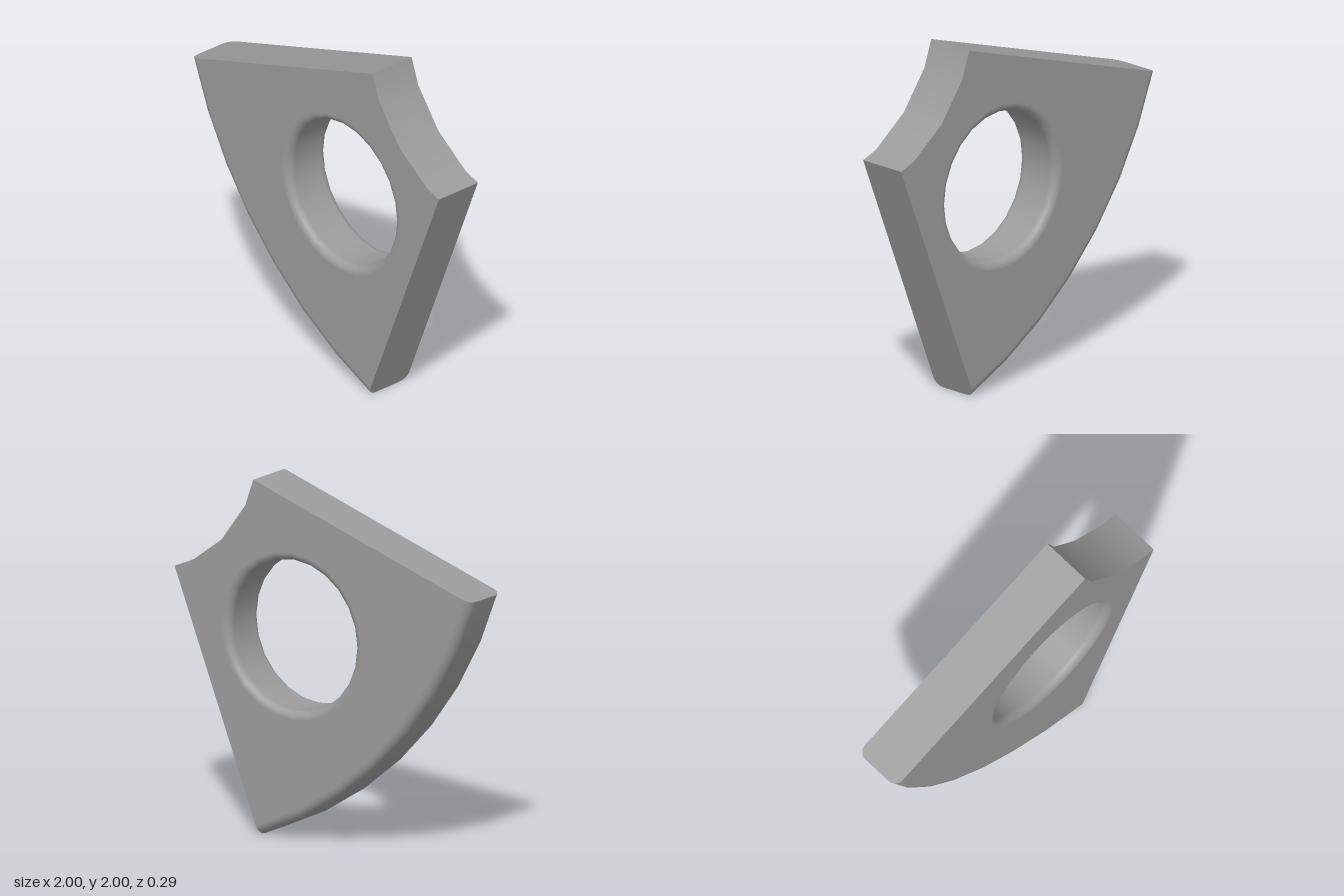
import * as THREE from 'three';

const CX = 1.337, CY = 2.281;          // centre of the ring the plate is cut from
const OUTER = 2.455, HALF = 0.145;
const RIM_FILLET = 0.055, HOLE_FILLET = 0.048;
const HOLE = { x: 0.21, y: 1.155, r: 0.425 };
const rad = THREE.MathUtils.degToRad;
const START = rad(197.84), END = rad(248.3);

// rings: [angle, radius] pairs
const outerArc = Array.from({ length: 8 }, (_, i) => [START + (END - START) * i / 7, OUTER]);
const innerArc = [[197.84, 0.914], [207.9, 0.924], [224.8, 0.924], [241.7, 0.924], [248.3, 0.914]]
  .map(([a, r]) => [rad(a), r]);
const holeRing = Array.from({ length: 25 }, (_, i) => [Math.PI * 2 * i / 24, HOLE.r]);

const at = (cx, cy, [a, r], extra = 0) =>
  new THREE.Vector2(cx + (r + extra) * Math.cos(a), cy + (r + extra) * Math.sin(a));

// Rounded wall section from back to front: [inset, z, normal outward, normal z]
function roundedSection(f, steps = 5) {
  const section = [];
  for (const s of [-1, 1]) {
    for (let k = 0; k <= steps; k++) {
      const t = (s < 0 ? steps - k : k) / steps * Math.PI / 2;
      section.push([f * (1 - Math.cos(t)), s * (HALF - f + f * Math.sin(t)), Math.cos(t), s * Math.sin(t)]);
    }
  }
  return section;
}
const rimSection = roundedSection(RIM_FILLET);
const holeSection = roundedSection(HOLE_FILLET);
const square = [[0, -HALF, 1, 0], [0, HALF, 1, 0]];

// Sweeps a wall section along a ring; side = 1 faces outward, -1 faces the centre
function wall(cx, cy, ring, section, side) {
  const pos = [], nor = [], idx = [], n = section.length;
  ring.forEach((p, i) => section.forEach(([inset, z, nr, nz], j) => {
    const v = at(cx, cy, p, -side * inset);
    pos.push(v.x, v.y, z);
    nor.push(side * nr * Math.cos(p[0]), side * nr * Math.sin(p[0]), nz);
    if (i < ring.length - 1 && j < n - 1) {
      const a = i * n + j, b = a + n, c = a + 1, d = b + 1;
      if (side > 0) idx.push(a, b, c, b, d, c);
      else idx.push(a, c, b, b, c, d);
    }
  }));
  const g = new THREE.BufferGeometry();
  g.setAttribute('position', new THREE.Float32BufferAttribute(pos, 3));
  g.setAttribute('normal', new THREE.Float32BufferAttribute(nor, 3));
  g.setIndex(idx);
  return g;
}

// Flat face with the round opening; mirror = -1 gives the outline for the back
function face(mirror) {
  const flip = v => new THREE.Vector2(v.x * mirror, v.y);
  const outline = [
    ...outerArc.map(p => at(CX, CY, p, -RIM_FILLET)),
    ...innerArc.map(p => at(CX, CY, p)).reverse(),
  ];
  const shape = new THREE.Shape(outline.map(flip));
  shape.holes.push(new THREE.Path(holeRing.slice(0, -1).map(p => flip(at(HOLE.x, HOLE.y, p, HOLE_FILLET)))));
  const g = new THREE.ShapeGeometry(shape);
  if (mirror < 0) g.rotateY(Math.PI);
  return g.translate(0, 0, mirror * HALF);
}

// Straight radial end of the plate, following the rounded section
function endFace(angle, dir) {
  const pts = rimSection.map(([inset, z]) => new THREE.Vector2(OUTER - inset, z));
  pts.push(new THREE.Vector2(0.914, HALF), new THREE.Vector2(0.914, -HALF));
  const radial = new THREE.Vector3(Math.cos(angle), Math.sin(angle), 0);
  const across = new THREE.Vector3(0, 0, dir);
  const normal = radial.clone().cross(across);
  const m = new THREE.Matrix4().makeBasis(radial, across, normal).setPosition(CX, CY, 0);
  return new THREE.ShapeGeometry(new THREE.Shape(pts)).applyMatrix4(m);
}

export function createModel() {
  const group = new THREE.Group();
  group.name = 'sectorPlate';
  const material = new THREE.MeshStandardMaterial({ color: 0x9b9b9b });
  const parts = {
    frontFace: face(1),
    backFace: face(-1),
    outerRim: wall(CX, CY, outerArc, rimSection, 1),
    innerNotch: wall(CX, CY, innerArc, square, -1),
    holeWall: wall(HOLE.x, HOLE.y, holeRing, holeSection, -1),
    upperEnd: endFace(START, 1),
    lowerEnd: endFace(END, -1),
  };
  for (const [name, geometry] of Object.entries(parts)) {
    const mesh = new THREE.Mesh(geometry, material);
    mesh.name = name;
    group.add(mesh);
  }
  return group;
}
